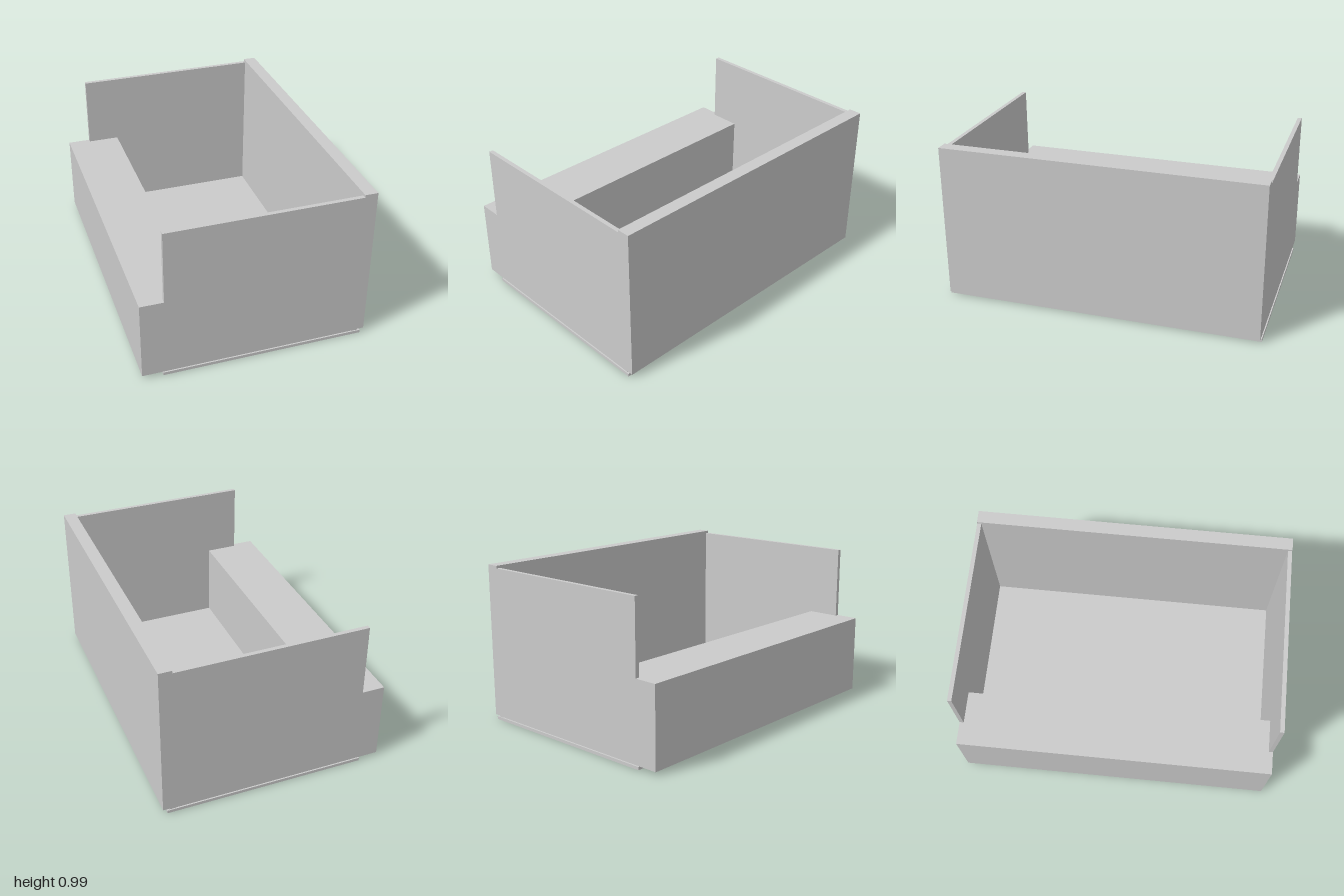
import * as THREE from 'three';

const material = new THREE.MeshStandardMaterial({ color: 0xcccccc, flatShading: true });

// Extrudes an x-y outline from z0 to z1
function slab(name, points, z0, z1) {
  const shape = new THREE.Shape(points.map(([x, y]) => new THREE.Vector2(x, y)));
  const geometry = new THREE.ExtrudeGeometry(shape, { depth: z1 - z0, bevelEnabled: false });
  geometry.translate(0, 0, z0);
  const mesh = new THREE.Mesh(geometry, material);
  mesh.name = name;
  return mesh;
}

const rect = (x0, x1, y0, y1) => [[x0, y0], [x1, y0], [x1, y1], [x0, y1]];

export function createModel() {
  const group = new THREE.Group();
  group.name = 'openBox';
  const outer = 0.993, inner = 0.967;

  // Thin base plate, which is also the floor
  group.add(slab('basePlate', rect(-0.575, 0.675, 0, 0.019), -1, 1));

  // Tall wall, with its outer lower edge raised clear of the plate
  group.add(slab('tallWall',
    [[0.62, 0.019], [0.66, 0.019], [0.66, 0.025], [0.7, 0.025], [0.7, 0.993], [0.62, 0.993]],
    -outer, outer));

  // Low solid ledge along the open side
  group.add(slab('lowLedge', rect(-0.7, -0.355, 0.021, 0.522), -inner, inner));

  // Stepped end panels
  const step = [[-0.7, 0.021], [0.62, 0.021], [0.62, 0.977], [-0.557, 0.977], [-0.557, 0.522], [-0.7, 0.522]];
  group.add(slab('frontPanel', step, inner, outer));
  group.add(slab('backPanel', step, -outer, -inner));

  return group;
}
